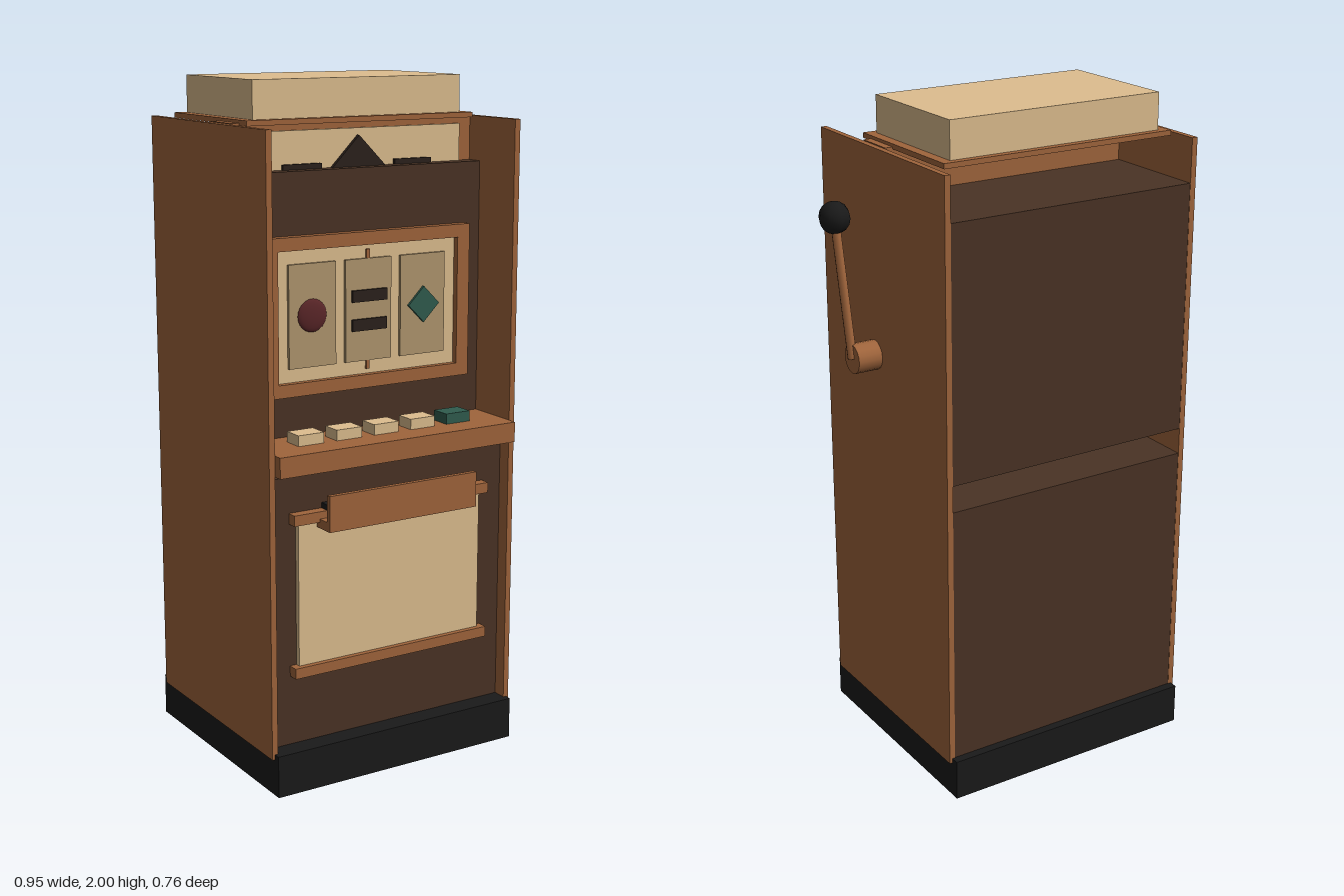
import * as THREE from 'three';

const mat = (color) => new THREE.MeshStandardMaterial({ color });
const WOOD = mat(0xa0653c), DARK = mat(0x4a3325), CREAM = mat(0xdebe8f), REEL = mat(0xb1976f);
const BLACK = mat(0x1a1a1a), INK = mat(0x2b211c), TEAL = mat(0x305c4e), RED = mat(0x5a2628);
const CX = -0.062; // centre line of the cabinet; the lever sticks out on +x

export function createModel() {
  const model = new THREE.Group();
  model.name = 'slotMachine';

  const add = (name, geometry, material, x, y, z) => {
    const mesh = new THREE.Mesh(geometry, material);
    mesh.name = name;
    mesh.position.set(x, y, z);
    model.add(mesh);
    return mesh;
  };
  // Box given by centre x (from the centre line), width, and its y and z ranges
  const box = (name, material, x, w, y0, y1, z0, z1) =>
    add(name, new THREE.BoxGeometry(w, y1 - y0, z1 - z0), material, CX + x, (y0 + y1) / 2, (z0 + z1) / 2);

  // Cabinet
  box('base', BLACK, 0, 0.813, 0, 0.125, -0.38, 0.352);
  box('lowerBody', DARK, 0, 0.794, 0.12, 0.92, -0.354, 0.29);
  box('upperBody', DARK, 0, 0.794, 1.0, 1.75, -0.354, 0.163);
  for (const s of [-1, 1]) box('sidePanel', WOOD, s * 0.406, 0.018, 0.11, 1.88, -0.355, 0.332);

  // Sign with its emblem
  box('signBox', WOOD, 0, 0.794, 1.74, 1.883, -0.013, 0.11);
  box('signPanel', CREAM, 0, 0.708, 1.74, 1.858, 0.1, 0.118);
  for (const s of [-1, 1]) box('signBar', INK, s * 0.185, 0.125, 1.735, 1.765, 0.115, 0.128);
  box('signDiamond', INK, 0, 0.125, 1.6875, 1.8125, 0.115, 0.13).rotation.z = Math.PI / 4;

  // Top light
  box('topPlate', WOOD, 0, 0.748, 1.877, 1.892, -0.286, 0.154);
  box('topLight', CREAM, 0, 0.687, 1.89, 2.0, -0.265, 0.131);

  // Reel window frame
  const frame = new THREE.Shape();
  frame.moveTo(-0.344, -0.226).lineTo(0.344, -0.226).lineTo(0.344, 0.226).lineTo(-0.344, 0.226).closePath();
  const hole = new THREE.Path();
  hole.moveTo(-0.302, -0.188).lineTo(-0.302, 0.188).lineTo(0.302, 0.188).lineTo(0.302, -0.188).closePath();
  frame.holes.push(hole);
  add('reelFrame', new THREE.ExtrudeGeometry(frame, { depth: 0.03, bevelEnabled: false }), WOOD, CX, 1.346, 0.161);
  box('reelBacking', CREAM, 0, 0.61, 1.156, 1.536, 0.155, 0.172);
  box('payLine', WOOD, 0, 0.011, 1.172, 1.52, 0.165, 0.178);

  // Reels and their symbols
  for (const i of [-1, 0, 1]) box('reel', REEL, i * 0.186, 0.154, 1.198, 1.494, 0.165, 0.181);
  add('ballSymbol', new THREE.SphereGeometry(0.048, 16, 12), RED, CX - 0.188, 1.346, 0.18).scale.z = 0.22;
  for (const y of [1.304, 1.388]) box('barSymbol', INK, 0, 0.117, y - 0.017, y + 0.017, 0.175, 0.189);
  box('diamondSymbol', TEAL, 0.186, 0.075, 1.3085, 1.3835, 0.175, 0.189).rotation.z = Math.PI / 4;

  // Counter with buttons
  box('counter', WOOD, 0, 0.794, 0.94, 1.0, 0.11, 0.361);
  for (let i = 0; i < 5; i++) {
    box('button', i === 4 ? TEAL : CREAM, (i - 2) * 0.125, 0.083, 0.995, 1.031, 0.215, 0.278);
  }

  // Lower door and its trims
  box('door', CREAM, 0, 0.62, 0.36, 0.79, 0.28, 0.306);
  for (const y of [0.333, 0.785]) box('doorTrim', WOOD, 0, 0.662, y, y + 0.031, 0.28, 0.322);

  // Coin tray
  box('trayFloor', WOOD, 0, 0.498, 0.768, 0.795, 0.285, 0.376);
  box('trayLip', WOOD, 0, 0.498, 0.768, 0.873, 0.361, 0.376);
  box('coinSlot', BLACK, 0, 0.45, 0.815, 0.832, 0.285, 0.35);

  // Lever
  add('leverHub', new THREE.CylinderGeometry(0.044, 0.044, 0.08, 16), WOOD, 0.388, 1.273, 0.041).rotation.z = Math.PI / 2;
  const foot = new THREE.Vector3(0.427, 1.273, 0.041);
  const tip = new THREE.Vector3(0.427, 1.67, 0.123);
  const mid = foot.clone().add(tip).multiplyScalar(0.5);
  const arm = add('leverArm', new THREE.CylinderGeometry(0.014, 0.014, foot.distanceTo(tip), 8), WOOD, mid.x, mid.y, mid.z);
  arm.quaternion.setFromUnitVectors(new THREE.Vector3(0, 1, 0), tip.clone().sub(foot).normalize());
  add('leverKnob', new THREE.SphereGeometry(0.047, 8, 8), BLACK, tip.x, tip.y, tip.z);

  return model;
}
